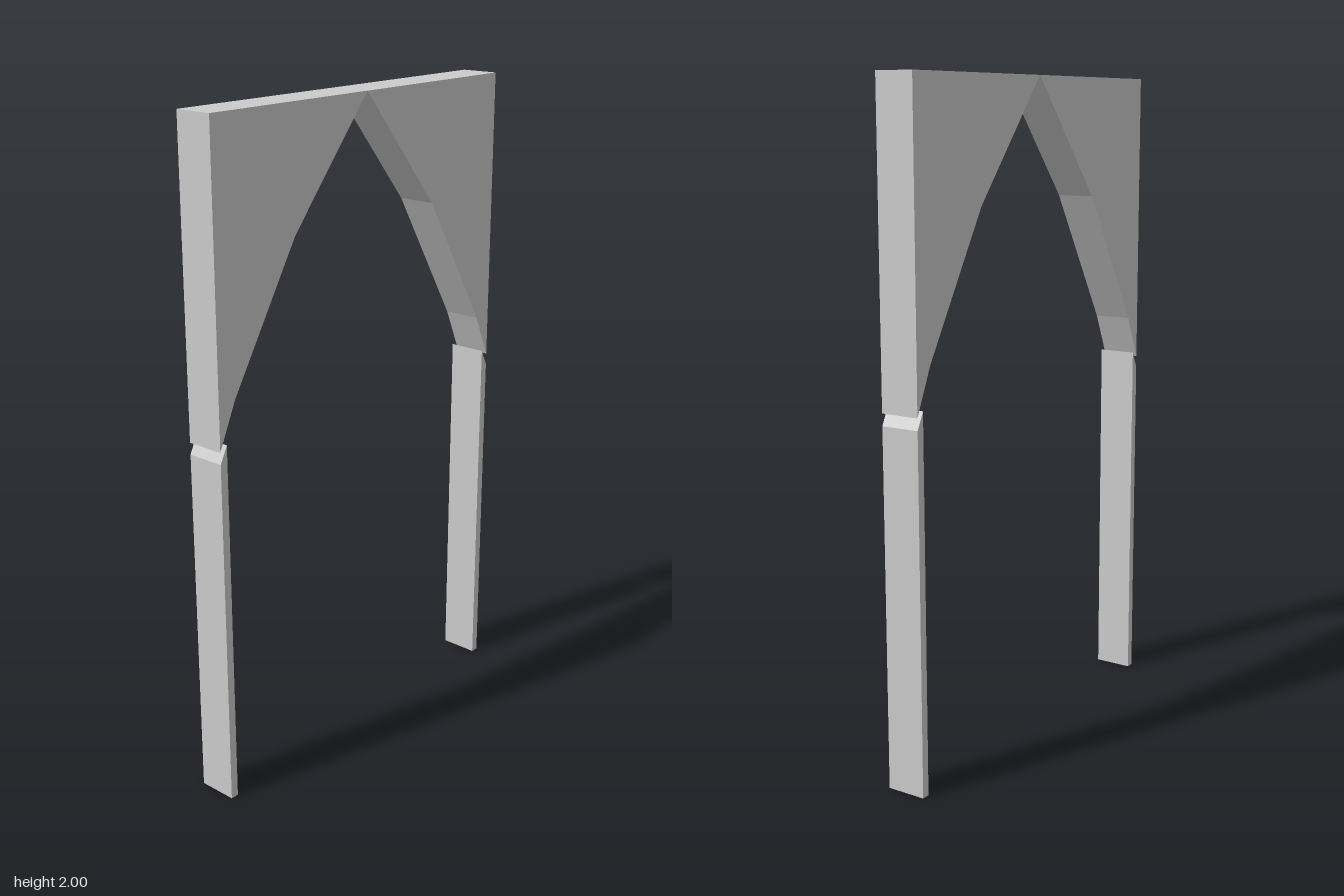
import * as THREE from 'three';

const WIDTH = 0.12; // thickness of the arch along x
const material = new THREE.MeshStandardMaterial({ color: 0xcccccc, flatShading: true });

// Profiles of one half of the arch, as [z, y]
const SPANDREL = [[0, 2], [0.3, 1.64], [0.545, 1.23], [0.605, 1.095], [0.605, 2]];
const POST = [[0.58, 0], [0.605, 0], [0.605, 1.06], [0.58, 1.11]];

// Extrude a [z, y] profile along x; side mirrors it to the front (1) or back (-1)
function slab(name, profile, side) {
  const shape = new THREE.Shape(profile.map(([z, y]) => new THREE.Vector2(z * side, y)));
  const geometry = new THREE.ExtrudeGeometry(shape, { depth: WIDTH, bevelEnabled: false });
  geometry.translate(0, 0, -WIDTH / 2);
  geometry.rotateY(-Math.PI / 2);
  const mesh = new THREE.Mesh(geometry, material);
  mesh.name = name;
  return mesh;
}

export function createModel() {
  const arch = new THREE.Group();
  arch.name = 'pointedArch';
  for (const [label, side] of [['front', 1], ['back', -1]]) {
    arch.add(slab(label + 'Spandrel', SPANDREL, side)); // solid corner above the curve
    arch.add(slab(label + 'Post', POST, side)); // thin upright with a sloped top
  }
  return arch;
}
